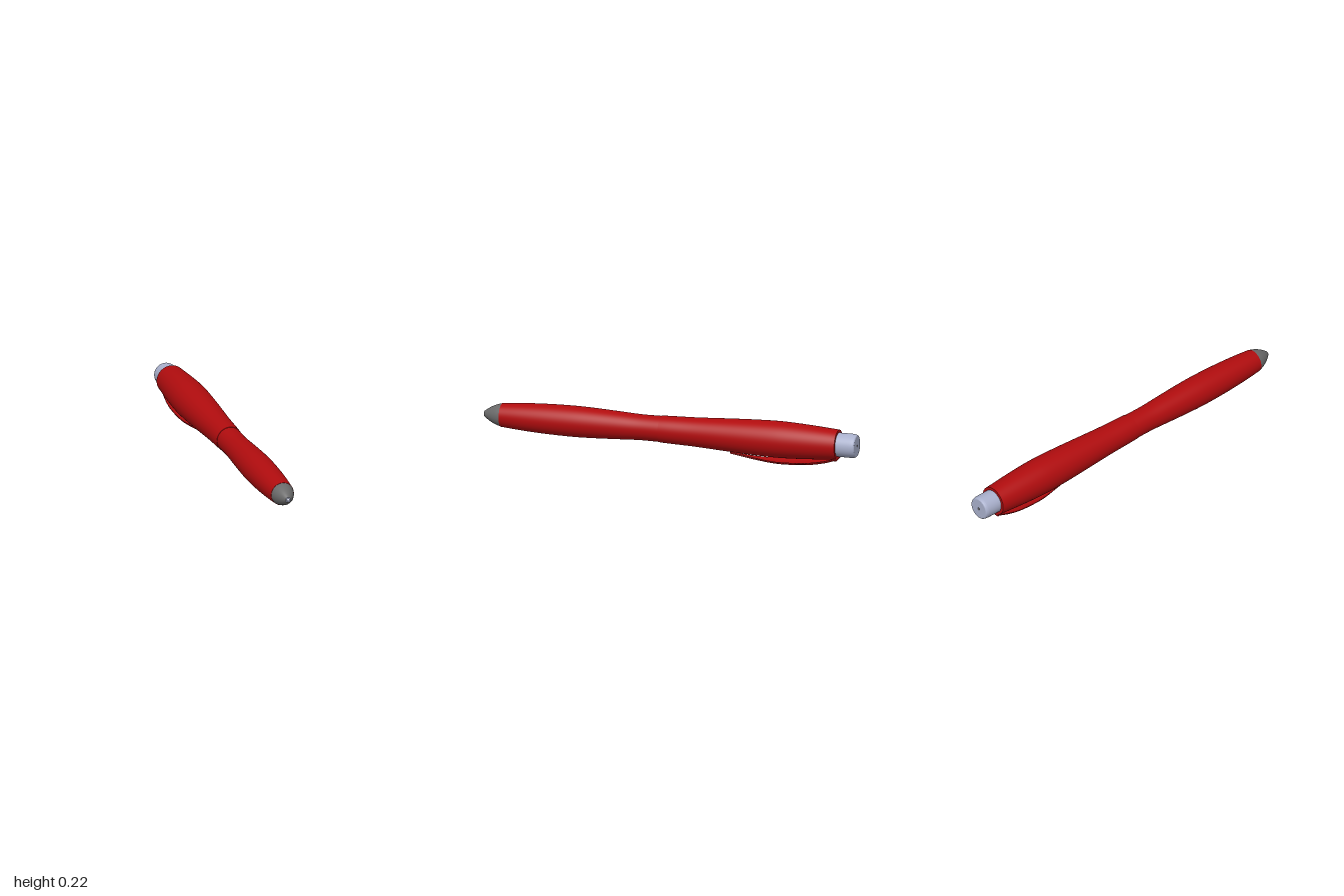
import * as THREE from 'three';

const AXIS_Y = 0.125;
const red = new THREE.MeshStandardMaterial({ color: 0xb00c0e });
const clipRed = new THREE.MeshStandardMaterial({ color: 0xb00c0e, side: THREE.DoubleSide });
const darkGrey = new THREE.MeshStandardMaterial({ color: 0x6a6a6a });
const paleBlue = new THREE.MeshStandardMaterial({ color: 0xa9b0cc });
const white = new THREE.MeshStandardMaterial({ color: 0xe8ecff });

// Revolve [radius, z] points (ordered back to front) around the barrel axis
function turned(name, points, material, smooth = 0) {
  let pts = points.map(([r, z]) => new THREE.Vector2(r, z));
  if (smooth) pts = new THREE.SplineCurve(pts).getPoints(smooth);
  const geo = new THREE.LatheGeometry(pts, 64).rotateX(Math.PI / 2);
  const mesh = new THREE.Mesh(geo, material);
  mesh.name = name;
  mesh.position.y = AXIS_Y;
  return mesh;
}

// Curved, pointed clip: closed cross-sections lofted along its length
function makeClip() {
  const rows = 32, half = 8, thick = 0.007, ring = 2 * (half + 1);
  const spine = new THREE.SplineCurve([
    [-0.9, 0.047], [-0.83, 0.025], [-0.74, 0.009], [-0.6, 0.0], [-0.48, 0.006], [-0.32, 0.027],
  ].map(([z, y]) => new THREE.Vector2(z, y)));
  const widths = new THREE.SplineCurve([
    [0, 0.046], [0.25, 0.051], [0.5, 0.053], [0.75, 0.044], [0.92, 0.024], [1, 0.005],
  ].map(([s, w]) => new THREE.Vector2(s, w)));
  const pos = [], idx = [];
  for (let i = 0; i <= rows; i++) {
    const p = spine.getPoint(i / rows), w = widths.getPoint(i / rows).y;
    for (let k = 0; k < ring; k++) {
      const outer = k <= half;
      const t = outer ? -1 + (2 * k) / half : 1 - (2 * (k - half - 1)) / half;
      const lift = 0.012 * (w / 0.053) * t ** 4;
      pos.push(t * w, p.y + lift + (outer ? 0 : thick), p.x);
    }
  }
  for (let i = 0; i < rows; i++) {
    for (let k = 0; k < ring; k++) {
      const a = i * ring + k, b = i * ring + ((k + 1) % ring);
      idx.push(a, b, a + ring, b, b + ring, a + ring);
    }
  }
  // end caps
  for (let k = 1; k < ring - 1; k++) {
    const e = rows * ring;
    idx.push(0, k + 1, k, e, e + k, e + k + 1);
  }
  const geo = new THREE.BufferGeometry();
  geo.setAttribute('position', new THREE.Float32BufferAttribute(pos, 3));
  geo.setIndex(idx);
  geo.computeVertexNormals();
  const mesh = new THREE.Mesh(geo, clipRed);
  mesh.name = 'clip';
  return mesh;
}

export function createModel() {
  const pen = new THREE.Group();
  pen.name = 'pen';

  // Two-part barrel, meeting at a fine step near the waist
  pen.add(turned('rearBarrel', [
    [0.077, -0.9], [0.087, -0.76], [0.093, -0.64], [0.094, -0.55], [0.09, -0.42],
    [0.083, -0.28], [0.075, -0.13], [0.071, 0], [0.069, 0.05],
  ], red, 48));
  pen.add(turned('barrelStep', [[0.069, 0.05], [0.067, 0.0501]], red));
  pen.add(turned('frontBarrel', [
    [0.067, 0.05], [0.0665, 0.16], [0.072, 0.28], [0.078, 0.42], [0.08, 0.53],
    [0.077, 0.67], [0.07, 0.8], [0.061, 0.905],
  ], red, 48));
  pen.add(turned('rearRim', [[0.058, -0.9], [0.077, -0.9]], red));
  pen.add(turned('frontRim', [[0.061, 0.905], [0.055, 0.905]], red));

  // Tapered nose with the writing point
  pen.add(turned('nose', [
    [0.06, 0.904], [0.053, 0.93], [0.041, 0.957], [0.027, 0.98], [0.013, 0.998],
  ], darkGrey, 20));
  pen.add(turned('noseRim', [[0.013, 0.998], [0.007, 0.998]], paleBlue));
  const point = new THREE.Mesh(new THREE.SphereGeometry(0.009, 20, 12), white);
  point.name = 'writingPoint';
  point.position.set(0, AXIS_Y, 0.991);
  pen.add(point);

  // Push button with rounded edge and a small dimple
  pen.add(turned('buttonSide', [[0.061, -0.985], [0.062, -0.97], [0.062, -0.89]], paleBlue));
  pen.add(turned('buttonEdge', [[0.053, -1], [0.058, -0.996], [0.061, -0.985]], paleBlue, 8));
  pen.add(turned('buttonEnd', [[0.006, -1], [0.053, -1]], paleBlue));
  pen.add(turned('buttonDimple', [[0, -0.992], [0.006, -0.992], [0.006, -1]].map(([r, z]) => [r, z]), darkGrey));

  pen.add(makeClip());
  // Short root joining the clip to the barrel
  const root = new THREE.Mesh(new THREE.BoxGeometry(0.07, 0.016, 0.03), red);
  root.name = 'clipRoot';
  root.position.set(0, 0.053, -0.884);
  pen.add(root);
  return pen;
}
